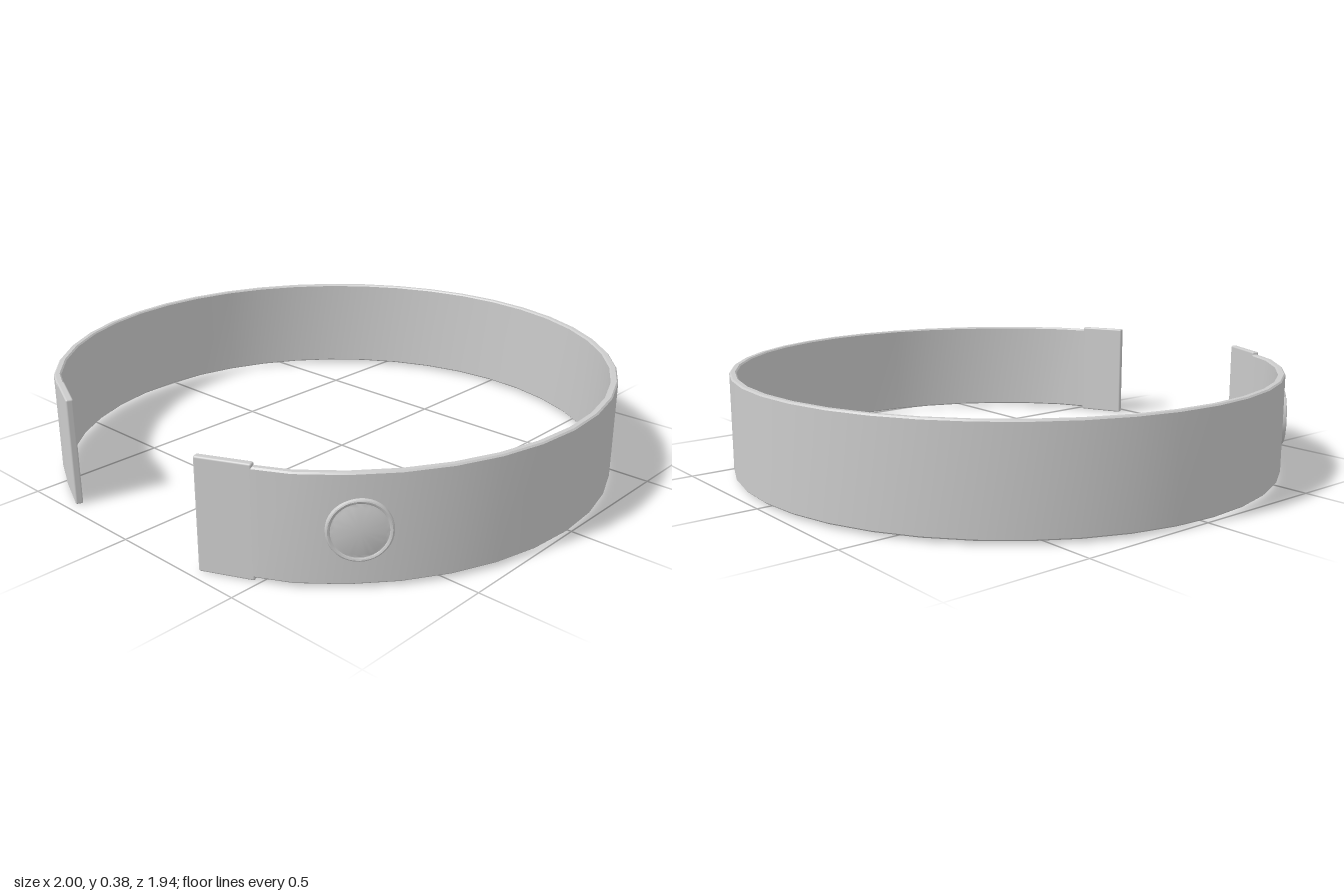
import * as THREE from 'three';
import { toCreasedNormals } from 'three/addons/utils/BufferGeometryUtils.js';
import { RoundedBoxGeometry } from 'three/addons/geometries/RoundedBoxGeometry.js';

const MID_Y = 0.188;      // half height of the bracelet
const CENTRE_Z = 0.03;    // centre of the ring
const THICK = 0.025;
const RADIUS = 1 - THICK / 2;
const DEG = Math.PI / 180;
const grey = new THREE.MeshStandardMaterial({ color: 0xcccccc });

// Open band: a chamfered rectangle swept along the ring
function bandGeometry() {
  const h = 0.178, t = THICK / 2, c = 0.005;
  const section = [
    [t, -h + c], [t, h - c], [t - c, h], [-t + c, h],
    [-t, h - c], [-t, -h + c], [-t + c, -h], [t - c, -h],
  ];
  // Each station: x, z and the outward direction nx, nz
  const stations = [];
  for (let i = -16; i <= 16; i++) {
    const a = i * 9 * DEG, s = Math.sin(a), co = Math.cos(a);
    stations.push([RADIUS * s, CENTRE_Z - RADIUS * co, s, -co]);
  }
  // Ends run just into the straight end plates
  const n = 25.5 * DEG;
  stations.unshift([-0.47, 0.886, -Math.sin(n), Math.cos(n)]);
  stations.push([0.47, 0.886, Math.sin(n), Math.cos(n)]);

  const pos = [], index = [], m = section.length;
  for (const [x, z, nx, nz] of stations) {
    for (const [o, y] of section) pos.push(x + nx * o, MID_Y + y, z + nz * o);
  }
  for (let j = 0; j < stations.length - 1; j++) {
    for (let i = 0; i < m; i++) {
      const a = j * m + i, b = j * m + (i + 1) % m;
      index.push(a, b, a + m, b, b + m, a + m);
    }
  }
  const g = new THREE.BufferGeometry();
  g.setAttribute('position', new THREE.Float32BufferAttribute(pos, 3));
  g.setIndex(index);
  return toCreasedNormals(g, 30 * DEG);
}

// Round stud with a rolled rim and a shallow face
function studGeometry() {
  const profile = [
    [0.1, -0.025], [0.1, 0.003], [0.098, 0.007], [0.094, 0.009],
    [0.09, 0.008], [0.086, 0.005], [0.081, 0.006], [0.075, 0.008], [0, 0.008],
  ].map(([x, y]) => new THREE.Vector2(x, y));
  const g = new THREE.LatheGeometry(profile, 40);
  g.rotateX(Math.PI / 2);
  return toCreasedNormals(g, 35 * DEG);
}

export function createModel() {
  const model = new THREE.Group();
  model.name = 'openBracelet';
  const add = (name, geometry) => {
    const mesh = new THREE.Mesh(geometry, grey);
    mesh.name = name;
    model.add(mesh);
    return mesh;
  };

  add('band', bandGeometry());

  const plate = new RoundedBoxGeometry(0.181, 2 * MID_Y, THICK, 2, 0.006);
  const stud = studGeometry();
  const studAngle = 47 * DEG;
  for (const [side, s] of [['left', 1], ['right', -1]]) {
    // Straight, slightly taller plate at the opening
    const end = add(side + 'EndPlate', plate);
    end.position.set(s * 0.395, MID_Y, 0.92);
    end.rotation.y = s * 24.4 * DEG;

    // Stud on the outer face
    const disc = add(side + 'Stud', stud);
    disc.position.set(s * Math.sin(studAngle), MID_Y, CENTRE_Z + Math.cos(studAngle));
    disc.rotation.y = s * studAngle;
  }
  return model;
}
